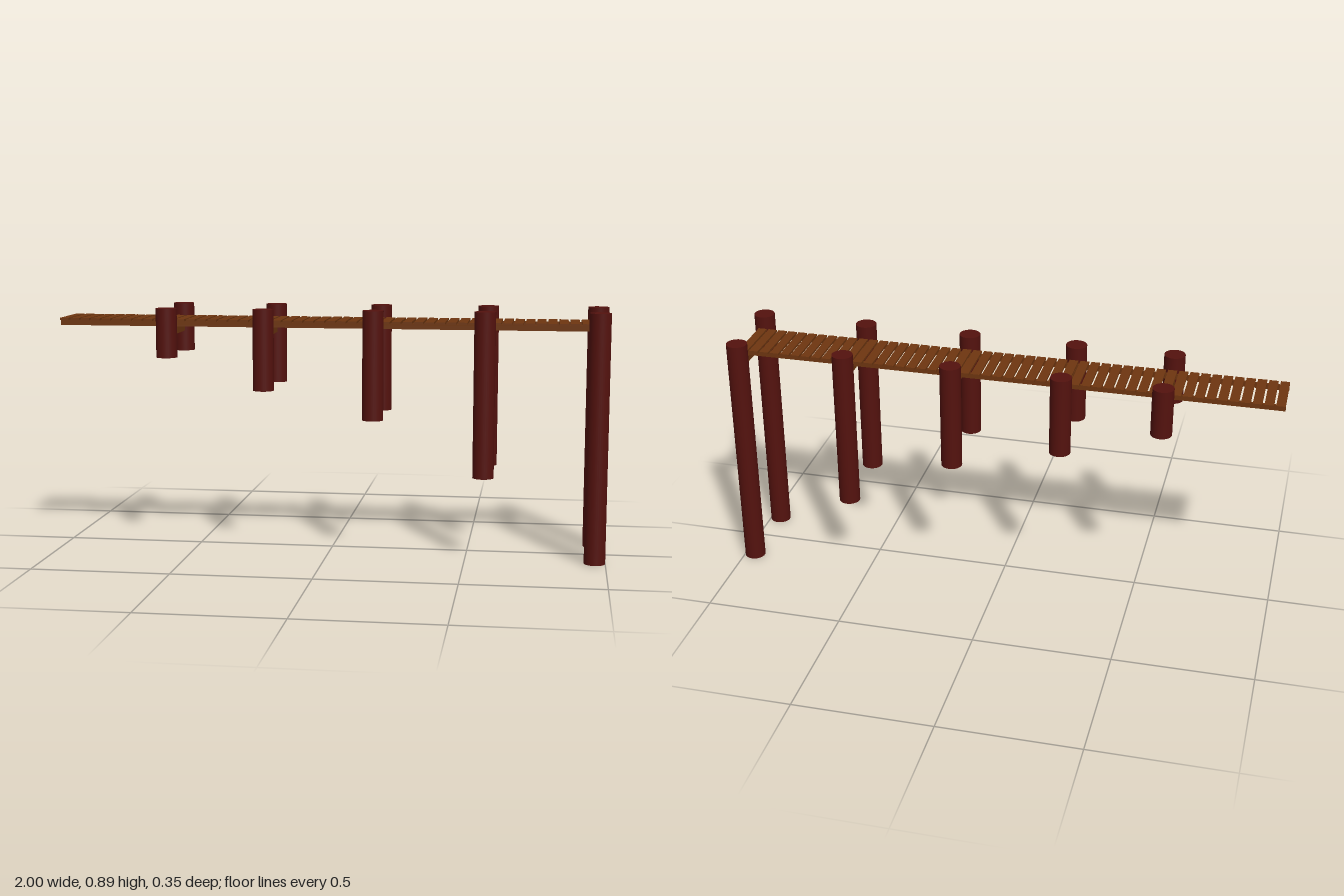
import * as THREE from 'three';

const postMaterial = new THREE.MeshStandardMaterial({ color: 0x54120e });
const woodMaterial = new THREE.MeshStandardMaterial({ color: 0x6e3610 });

export function createModel() {
  const pier = new THREE.Group();
  pier.name = 'pier';

  const add = (name, geometry, material, x, y, z) => {
    const mesh = new THREE.Mesh(geometry, material);
    mesh.name = name;
    mesh.position.set(x, y, z);
    pier.add(mesh);
  };

  // Pairs of round posts, longer towards deep water, each joined by a cross beam
  const top = 0.893;
  const supports = [[-0.588, 0.715], [-0.232, 0.6], [0.165, 0.5], [0.562, 0.3], [0.962, 0]];
  for (const [x, bottom] of supports) {
    const height = top - bottom;
    for (const side of [1, -1]) {
      add('post', new THREE.CylinderGeometry(0.038, 0.038, height, 32), postMaterial,
        x, bottom + height / 2, side * 0.139);
    }
    add('crossBeam', new THREE.BoxGeometry(0.02, 0.033, 0.22), woodMaterial, x, 0.807, 0);
  }

  // Two long stringers under the deck
  for (const z of [0.083, -0.076]) {
    add('stringer', new THREE.BoxGeometry(1.975, 0.02, 0.007), woodMaterial, -0.0125, 0.833, z);
  }

  // Deck planks with narrow gaps
  const count = 50, pitch = 0.0396;
  const plank = new THREE.BoxGeometry(0.032, 0.008, 0.197);
  for (let i = 0; i < count; i++) {
    add('plank', plank, woodMaterial, -0.984 + i * pitch, 0.846, -0.001);
  }
  return pier;
}
